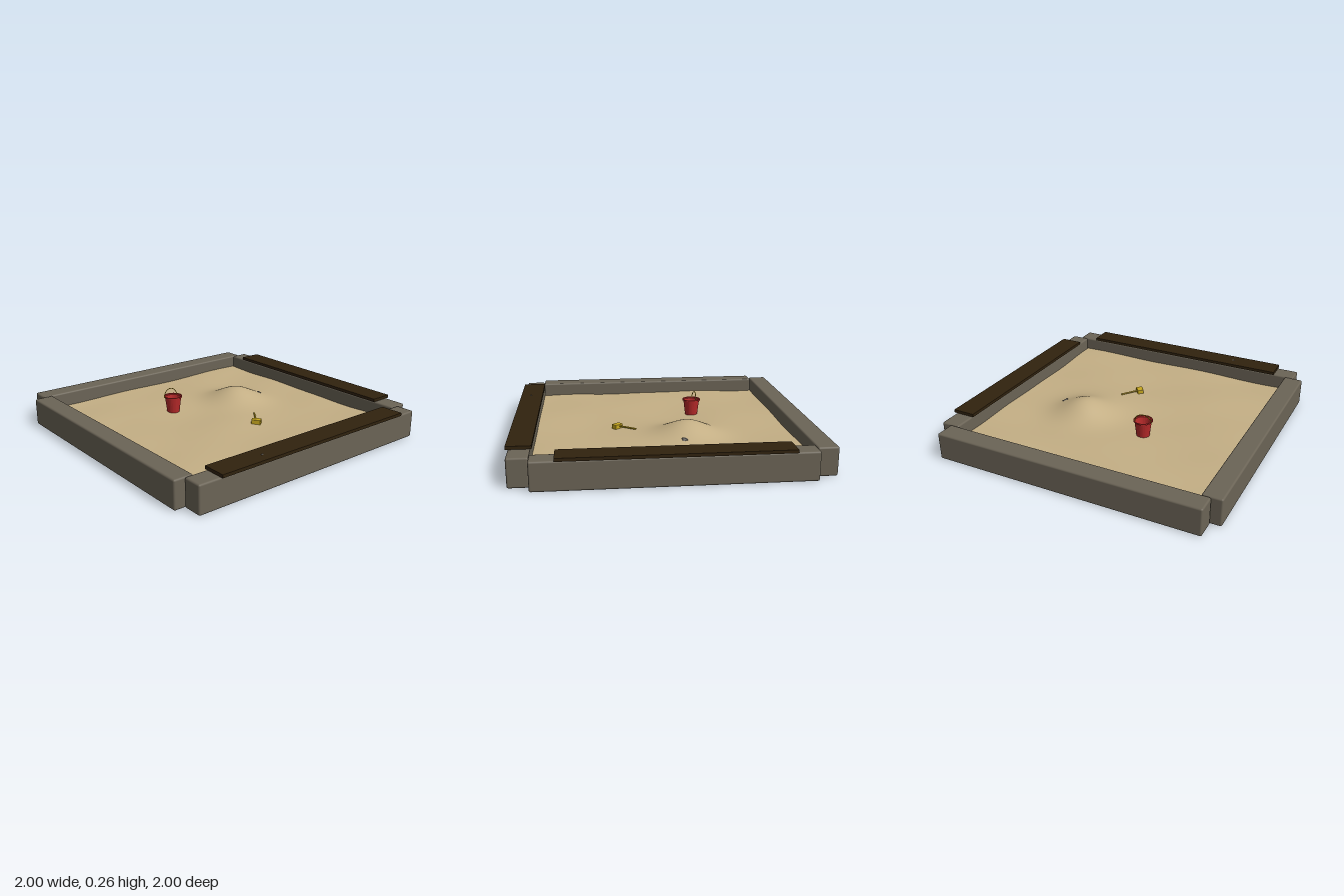
import * as THREE from 'three';
import { RoundedBoxGeometry } from 'three/addons/geometries/RoundedBoxGeometry.js';

const material = (name, color, extra = {}) => {
  const m = new THREE.MeshStandardMaterial({ color, ...extra });
  m.name = name;
  return m;
};

// Height of the sand: gentle ripples plus one mound
function sandHeight(x, z) {
  const ripples = 0.006 * Math.sin(5 * x + 2 * z) * Math.cos(6 * z - 2 * x)
    + 0.003 * Math.sin(11 * z + 3 * x) * Math.cos(4 * x);
  const d2 = (x - 0.29) ** 2 + (z + 0.17) ** 2;
  return 0.092 + ripples + 0.103 * Math.exp(-d2 / 0.036);
}

export function createModel() {
  const model = new THREE.Group();
  model.name = 'sandbox';

  const timber = material('weathered timber', 0x6b6456);
  const board = material('dark seat board', 0x30220e);
  const sand = material('sand', 0xc4af85, { side: THREE.DoubleSide });
  const red = material('red plastic', 0xb92a2a, { side: THREE.DoubleSide });
  const yellow = material('yellow plastic', 0xc9a91f);
  const stone = material('grey stone', 0x6a665f, { flatShading: true });

  const add = (name, geometry, mat, x = 0, y = 0, z = 0, parent = model) => {
    const mesh = new THREE.Mesh(geometry, mat);
    mesh.name = name;
    mesh.position.set(x, y, z);
    parent.add(mesh);
    return mesh;
  };

  // Frame beams: name, x range, z range
  const beams = [
    ['frontBeam', -0.93, 0.91, 0.85, 0.982],
    ['backBeam', -0.93, 0.91, -1, -0.865],
    ['rightBeam', -1, -0.867, -0.865, 0.85],
    ['leftBeam', 0.85, 0.982, -0.865, 0.85],
  ];
  for (const [name, x0, x1, z0, z1] of beams) {
    add(name, new RoundedBoxGeometry(x1 - x0, 0.187, z1 - z0, 2, 0.012), timber,
      (x0 + x1) / 2, 0.0935, (z0 + z1) / 2);
  }

  // Seat boards on two of the beams
  add('frontSeat', new THREE.BoxGeometry(1.54, 0.021, 0.157), board, -0.01, 0.1985, 0.918);
  add('leftSeat', new THREE.BoxGeometry(0.157, 0.021, 1.42), board, 0.919, 0.1985, -0.01);

  // Sand surface
  const ground = new THREE.PlaneGeometry(1.74, 1.735, 90, 90).rotateX(-Math.PI / 2);
  ground.translate(-0.008, 0, -0.0075);
  const p = ground.attributes.position;
  for (let i = 0; i < p.count; i++) p.setY(i, sandHeight(p.getX(i), p.getZ(i)));
  ground.computeVertexNormals();
  add('sandSurface', ground, sand);

  // Bucket with a lip, a floor just under the sand and a wire handle
  const bucket = new THREE.Group();
  bucket.name = 'bucket';
  bucket.position.set(-0.215, 0.085, -0.265);
  model.add(bucket);
  const wall = [[0, 0], [0.044, 0], [0.058, 0.11], [0.065, 0.112], [0.065, 0.121], [0.059, 0.121]]
    .map(([r, y]) => new THREE.Vector2(r, y));
  const shell = new THREE.LatheGeometry(wall, 28).toNonIndexed();
  shell.computeVertexNormals();
  add('bucketShell', shell, red, 0, 0, 0, bucket);
  const arc = new THREE.TorusGeometry(0.058, 0.003, 6, 28, Math.PI);
  const handle = add('bucketHandle', arc, yellow, -0.008, 0.113, -0.018, bucket);
  handle.rotation.set(-0.13, 0.1, 0);

  // Toy mallet lying on the sand
  const mallet = new THREE.Group();
  mallet.name = 'mallet';
  mallet.position.set(0.085, sandHeight(0.085, 0.3) + 0.012, 0.3);
  mallet.rotation.y = 0.94;
  model.add(mallet);
  add('malletHead', new RoundedBoxGeometry(0.046, 0.036, 0.064, 2, 0.004), yellow, 0, 0, 0, mallet)
    .rotation.y = -0.28;
  const stick = new THREE.CylinderGeometry(0.006, 0.006, 0.135, 10).rotateZ(Math.PI / 2);
  add('malletHandle', stick, yellow, 0.085, 0.005, 0, mallet);

  // Half-buried stone beside the mound
  const rock = add('buriedStone', new THREE.IcosahedronGeometry(0.036, 0), stone,
    0.475, sandHeight(0.475, -0.12) - 0.026, -0.12);
  rock.rotation.set(0.4, 0.3, 0.5);

  // Pebble on the front seat
  add('pebble', new THREE.IcosahedronGeometry(0.014, 0), stone, -0.43, 0.2, 0.925);

  return model;
}
